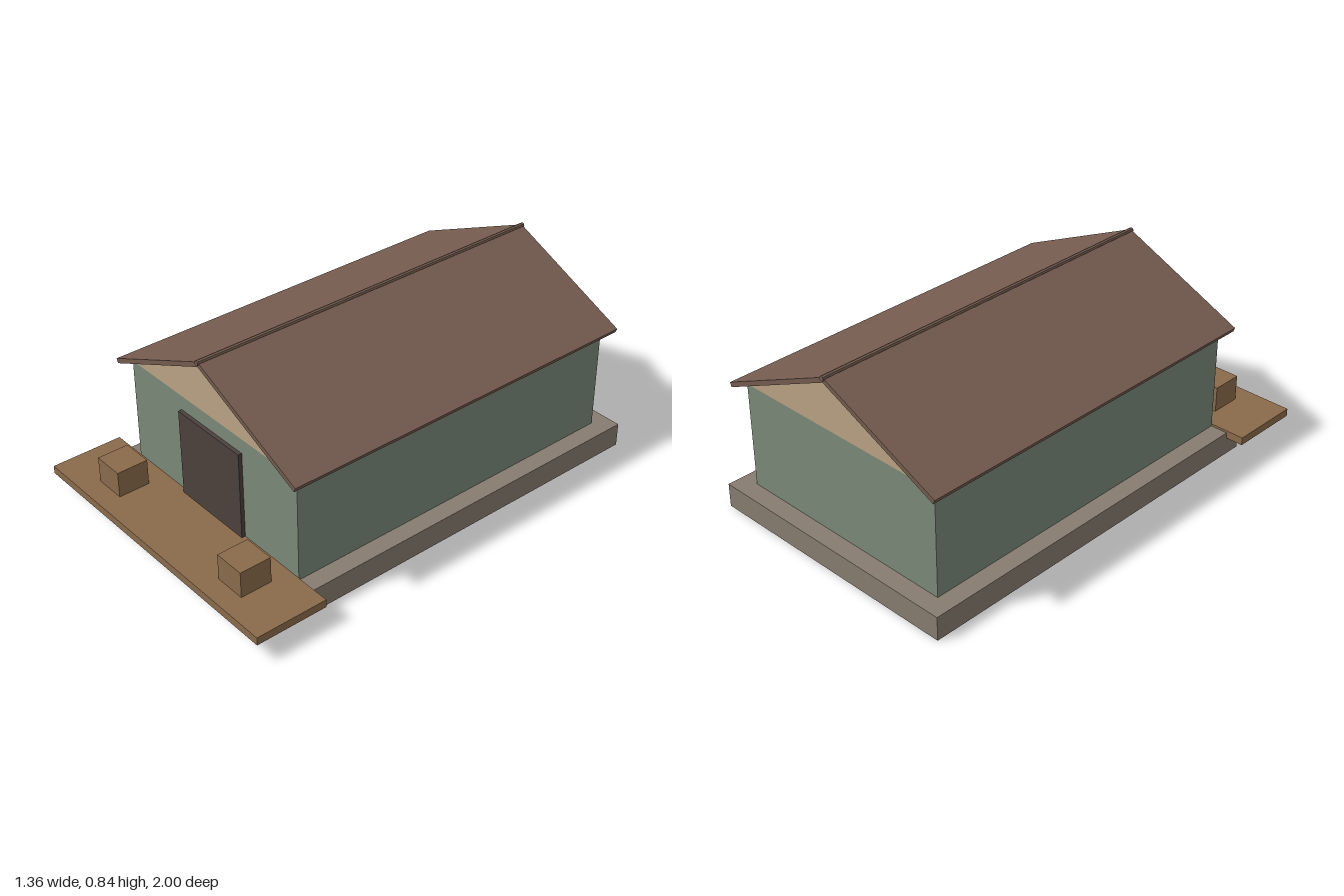
import * as THREE from 'three';

const material = (color) => new THREE.MeshStandardMaterial({ color, flatShading: true });
const STONE = material(0x877c70), WALL = material(0x7a8978), WOOD = material(0x8a6b4a);
const DOOR = material(0x4c423d), GABLE = material(0xbaa384), ROOF = material(0x755c4f);

export function createModel() {
  const model = new THREE.Group();

  const add = (name, geometry, mat) => {
    const mesh = new THREE.Mesh(geometry, mat);
    mesh.name = name;
    model.add(mesh);
    return mesh;
  };

  // Box given by its extents along each axis
  const box = (name, mat, [x0, x1], [y0, y1], [z0, z1]) =>
    add(name, new THREE.BoxGeometry(x1 - x0, y1 - y0, z1 - z0), mat)
      .position.set((x0 + x1) / 2, (y0 + y1) / 2, (z0 + z1) / 2);

  // Outline in x and y, extruded from z0 to z1
  const prism = (name, mat, points, z0, z1) => {
    const shape = new THREE.Shape(points.map(([x, y]) => new THREE.Vector2(x, y)));
    const geometry = new THREE.ExtrudeGeometry(shape, { depth: z1 - z0, bevelEnabled: false });
    add(name, geometry.translate(0, 0, z0), mat);
  };

  // Foundation, walls, door and front deck
  box('foundation', STONE, [-0.6, 0.6], [0, 0.105], [-1, 0.76]);
  box('walls', WALL, [-0.52, 0.52], [0.105, 0.57], [-0.92, 0.68]);
  box('door', DOOR, [-0.192, 0.192], [0.105, 0.505], [0.675, 0.697]);
  box('deck', WOOD, [-0.68, 0.68], [0.08, 0.115], [0.68, 1]);

  // Gable block filling the space under the roof
  prism('gable', GABLE, [[-0.52, 0.57], [0.52, 0.57], [0, 0.814]], -0.92, 0.68);

  // Mirrored roof slopes and crates
  for (const [side, s] of [['left', 1], ['right', -1]]) {
    prism(`${side}RoofSlope`, ROOF,
      [[0, 0.833], [s * 0.568, 0.577], [s * 0.56, 0.558], [0, 0.811]], -0.965, 0.725);
    const xs = [s * 0.33, s * 0.47].sort((a, b) => a - b);
    box(`${side}Crate`, WOOD, xs, [0.115, 0.23], [0.77, 0.91]);
  }

  // Ridge cap along the roof top
  add('ridgeCap', new THREE.CylinderGeometry(0.011, 0.011, 1.7, 8).rotateX(Math.PI / 2), ROOF)
    .position.set(0, 0.829, -0.12);

  return model;
}
